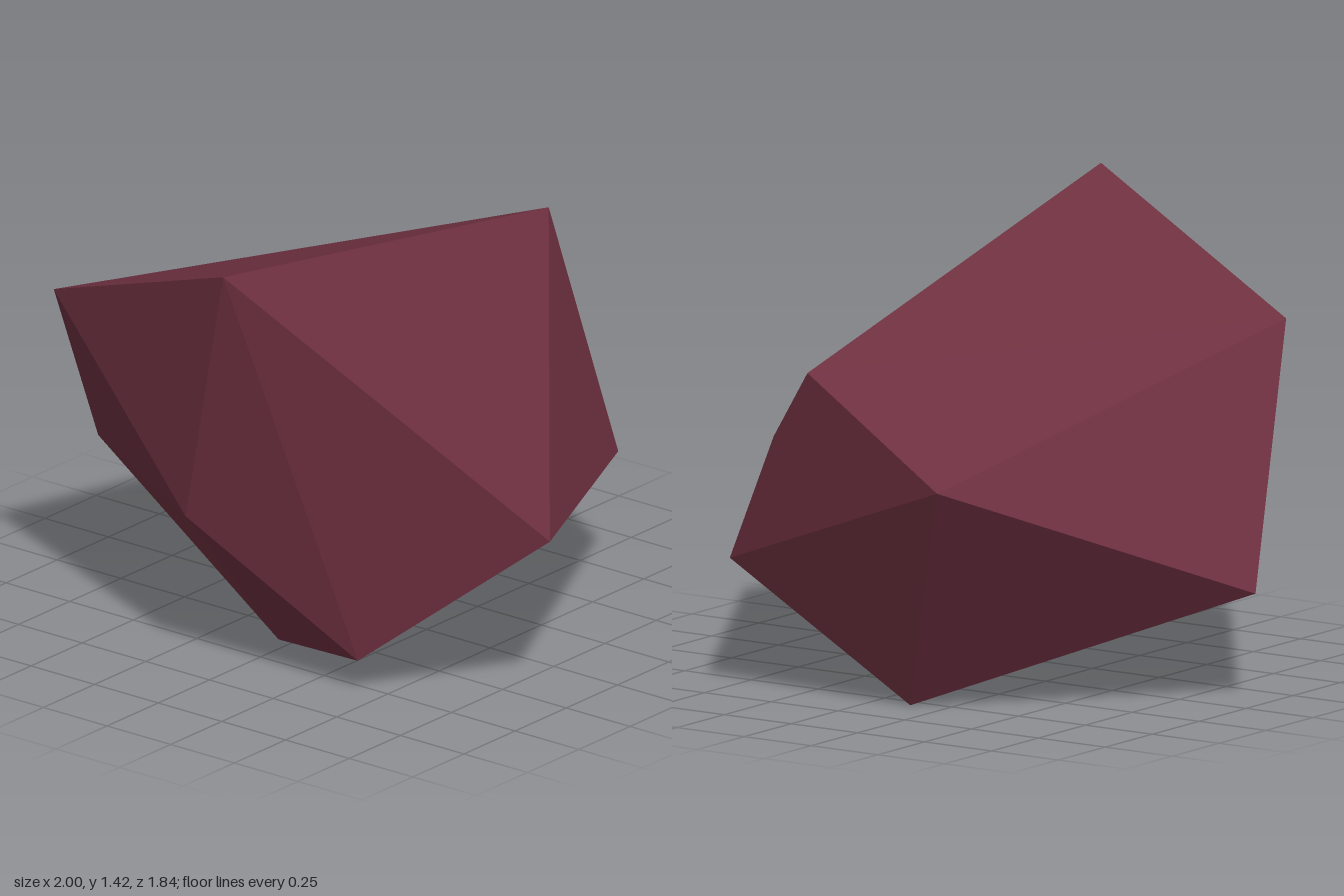
import * as THREE from 'three';
import { ConvexGeometry } from 'three/addons/geometries/ConvexGeometry.js';

export function createModel() {
  const group = new THREE.Group();
  group.name = 'rock';

  const darkRed = new THREE.MeshStandardMaterial({ color: 0x6e3040 });
  darkRed.name = 'dark red stone';

  // Corners of the faceted boulder, whose hull gives flat faces
  const corners = [
    // upper slope
    [0.19, 1.42, 0.92], [-0.70, 1.08, 0.64], [0.03, 1.07, -0.87], [-0.49, 0.76, -0.92],
    // widest ring
    [1.0, 0.57, 0.33], [-0.07, 0.53, 0.78], [-1.0, 0.35, 0.05], [0.44, 0.42, -0.70],
    // lower front corner and the ridge it stands on
    [0.43, 0.11, 0.56], [-0.05, 0, 0.35], [-0.13, 0, -0.55],
  ].map((p) => new THREE.Vector3(...p));

  const boulder = new THREE.Mesh(new ConvexGeometry(corners), darkRed);
  boulder.name = 'boulder';
  group.add(boulder);
  return group;
}
